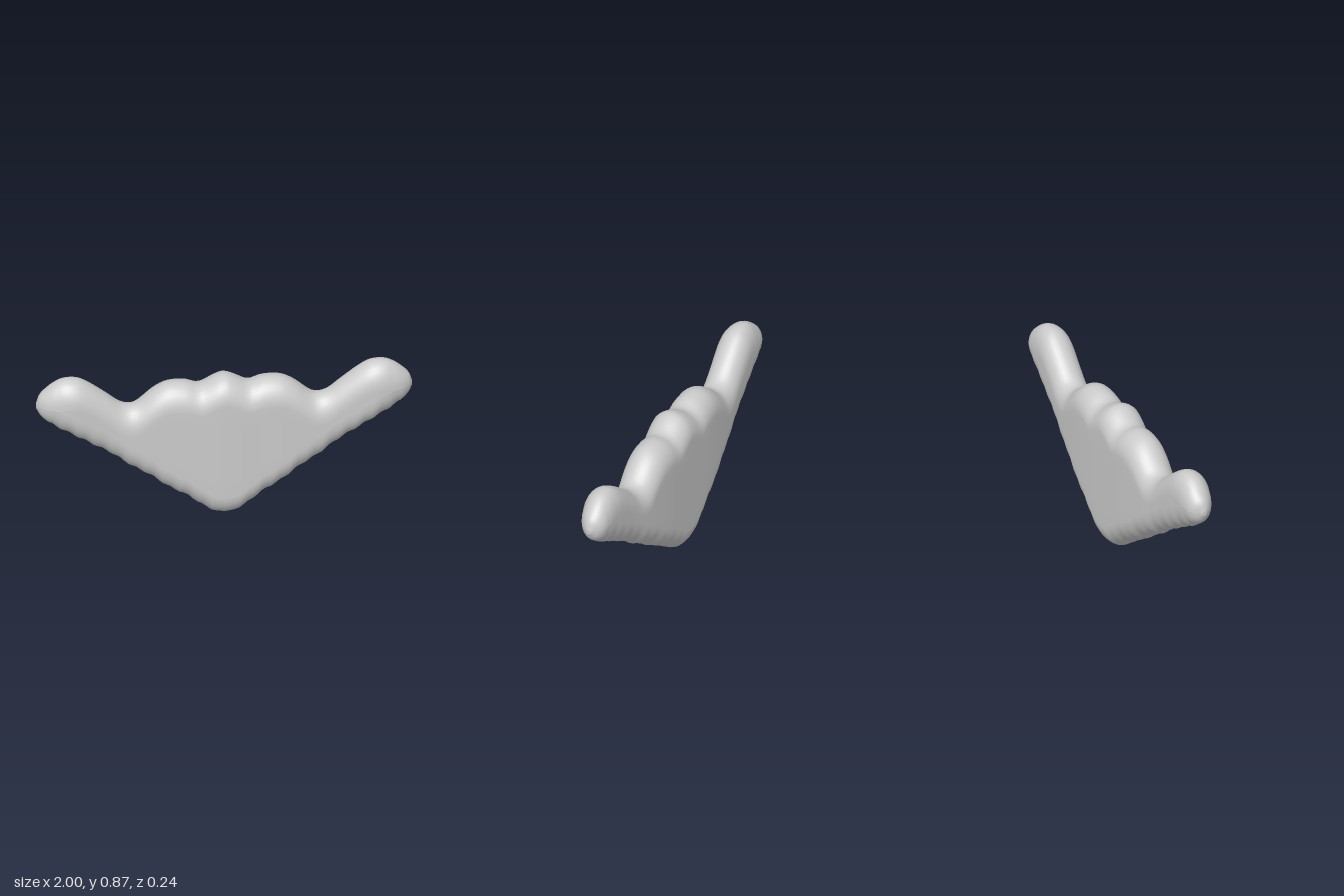
import * as THREE from 'three';

// Half profiles as [distance from centre, value]; both sides mirror.
const TOP = [[0, .842], [.05, .825], [.13, .786], [.2, .806], [.27, .81], [.32, .8], [.38, .765], [.45, .705],
  [.49, .686], [.55, .7], [.63, .765], [.72, .835], [.78, .868], [.85, .872], [.9, .852], [.96, .803], [.987, .77], [1, .73]];
const BOTTOM = [[0, 0], [.06, .012], [.1, .036], [.2, .115], [.3, .177], [.4, .257], [.5, .322], [.6, .402],
  [.7, .467], [.8, .532], [.9, .594], [.95, .63], [.98, .662], [1, .7]];
const FRONT = [[0, .117], [.2, .11], [.4, .102], [.6, .093], [.8, .104], [.87, .095], [.94, .07], [.98, .04], [1, .012]];
const BACK = [[0, .122], [.22, .121], [.4, .112], [.6, .096], [.8, .085], [.92, .076], [.97, .055], [1, .012]];

// Smooth curve through the points of a profile
function sample(p, x) {
  let i = 0;
  while (i < p.length - 2 && x > p[i + 1][0]) i++;
  const slope = (k) => {
    if (k === 0) return 0;
    const a = p[k - 1], b = p[Math.min(k + 1, p.length - 1)];
    return (b[1] - a[1]) / (b[0] - a[0]);
  };
  const w = p[i + 1][0] - p[i][0], t = (x - p[i][0]) / w, t2 = t * t, t3 = t2 * t;
  return (2 * t3 - 3 * t2 + 1) * p[i][1] + (t3 - 2 * t2 + t) * w * slope(i)
    + (3 * t2 - 2 * t3) * p[i + 1][1] + (t3 - t2) * w * slope(i + 1);
}

// Closed rounded cross-section (y, z) at a given x
function section(x) {
  const d = Math.abs(x);
  const top = sample(TOP, d), front = sample(FRONT, d), back = sample(BACK, d);
  const ripple = .005 * Math.sin(d * 70) * Math.min(1, d * 8) * (d < .93 ? 1 : 0);
  const bottom = sample(BOTTOM, d) + ripple;
  const r = Math.min(.135, (top - bottom) / 2), round = 8, flat = 6;
  const half = [];
  for (let i = 0; i <= round; i++) {
    const a = (i / round) * Math.PI / 2;
    half.push([top - r * (1 - Math.cos(a)), Math.sin(a)]);
  }
  for (let i = 1; i < flat; i++) half.push([THREE.MathUtils.lerp(top - r, bottom + r, i / flat), 1]);
  for (let i = 0; i <= round; i++) {
    const a = (i / round) * Math.PI / 2;
    half.push([bottom + r * (1 - Math.sin(a)), Math.cos(a)]);
  }
  return [
    ...half.map(([y, z]) => [y, z * front]),
    ...half.slice(1, -1).reverse().map(([y, z]) => [y, -z * back]),
  ];
}

function loftGeometry(steps) {
  const positions = [], index = [];
  let n = 0;
  for (let i = 0; i <= steps; i++) {
    const x = Math.sin((i / steps - .5) * Math.PI);
    const ring = section(x);
    n = ring.length;
    for (const [y, z] of ring) positions.push(x, y, z);
  }
  for (let i = 0; i < steps; i++) {
    for (let j = 0; j < n; j++) {
      const a = i * n + j, b = i * n + (j + 1) % n, c = a + n, d = b + n;
      index.push(a, b, c, b, d, c);
    }
  }
  // Close the two arm tips
  for (const [start, flip] of [[0, true], [steps * n, false]]) {
    const c = positions.length / 3;
    positions.push(flip ? -1 : 1, .715, 0);
    for (let j = 0; j < n; j++) {
      const a = start + j, b = start + (j + 1) % n;
      if (flip) index.push(c, b, a);
      else index.push(c, a, b);
    }
  }
  const g = new THREE.BufferGeometry();
  g.setAttribute('position', new THREE.Float32BufferAttribute(positions, 3));
  g.setIndex(index);
  g.computeVertexNormals();
  return g;
}

export function createModel() {
  const group = new THREE.Group();
  group.name = 'wingedEmblem';
  // One continuous soft slab: V-shaped base, two raised arms, scalloped crest
  const body = new THREE.Mesh(loftGeometry(128), new THREE.MeshStandardMaterial({ color: 0xcccccc }));
  body.name = 'body';
  group.add(body);
  return group;
}
